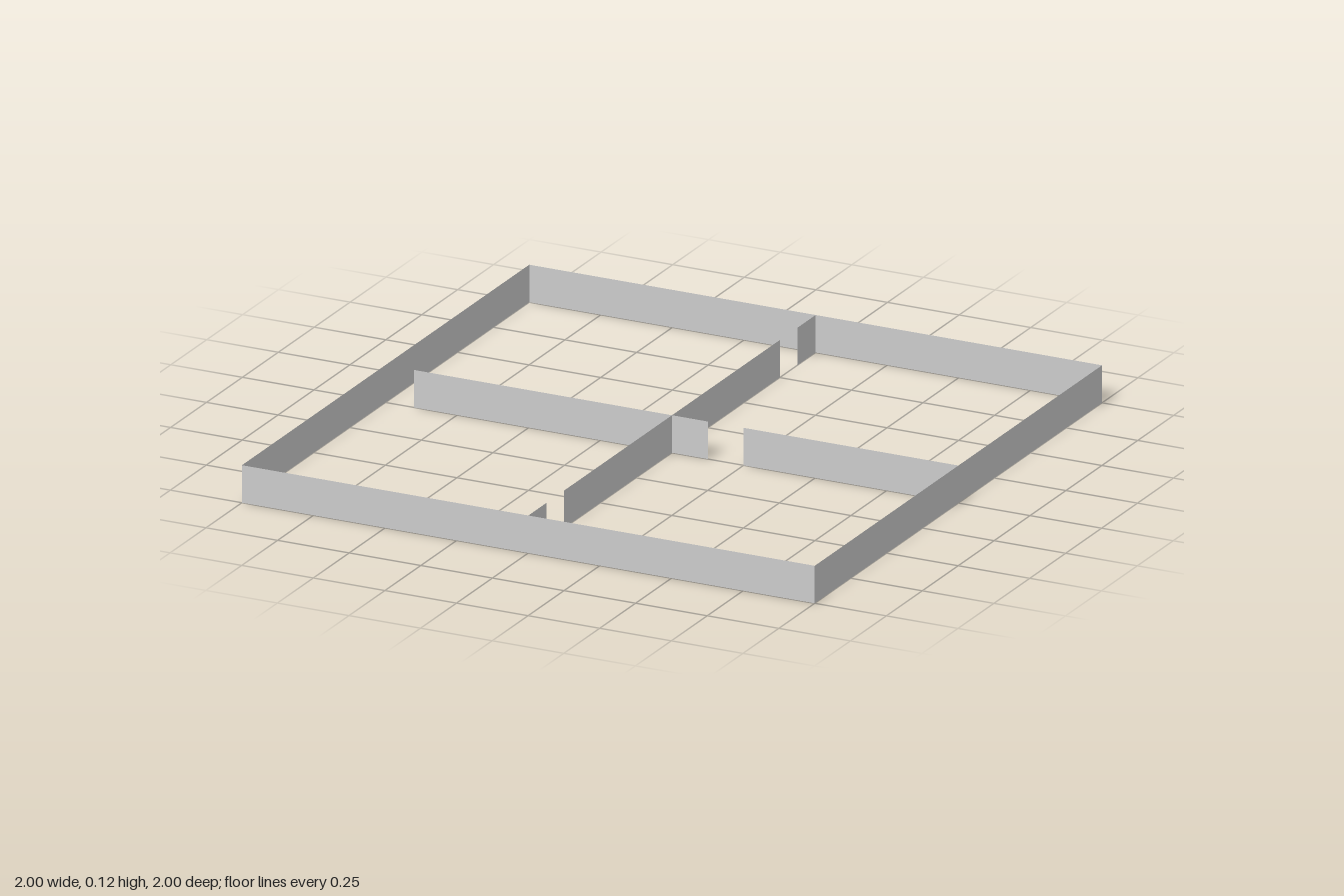
import * as THREE from 'three';

const HEIGHT = 0.125;

export function createModel() {
  const model = new THREE.Group();
  const material = new THREE.MeshStandardMaterial({
    color: 0xcccccc, flatShading: true, side: THREE.DoubleSide,
  });

  // A paper-thin upright wall between two floor points
  function addWall(name, x1, z1, x2, z2) {
    const wall = new THREE.Mesh(
      new THREE.PlaneGeometry(Math.hypot(x2 - x1, z2 - z1), HEIGHT), material);
    wall.name = name;
    wall.position.set((x1 + x2) / 2, HEIGHT / 2, (z1 + z2) / 2);
    wall.rotation.y = -Math.atan2(z2 - z1, x2 - x1);
    model.add(wall);
  }

  // Square outer walls
  addWall('frontWall', -1, 1, 1, 1);
  addWall('leftWall', 1, 1, 1, -1);
  addWall('backWall', 1, -1, -1, -1);
  addWall('rightWall', -1, -1, -1, 1);

  // Crosswise partition, with a gap at the right wall and a doorway near the middle
  addWall('crossPartitionRight', -0.9, 0, 0.125, 0);
  addWall('crossPartitionLeft', 0.25, 0, 1, 0);

  // Lengthwise partition, with a doorway near each end
  addWall('lengthPartition', 0, -0.75, 0, 0.75);
  addWall('frontStub', 0, 0.875, 0, 1);
  addWall('backStub', 0, -1, 0, -0.875);

  return model;
}
